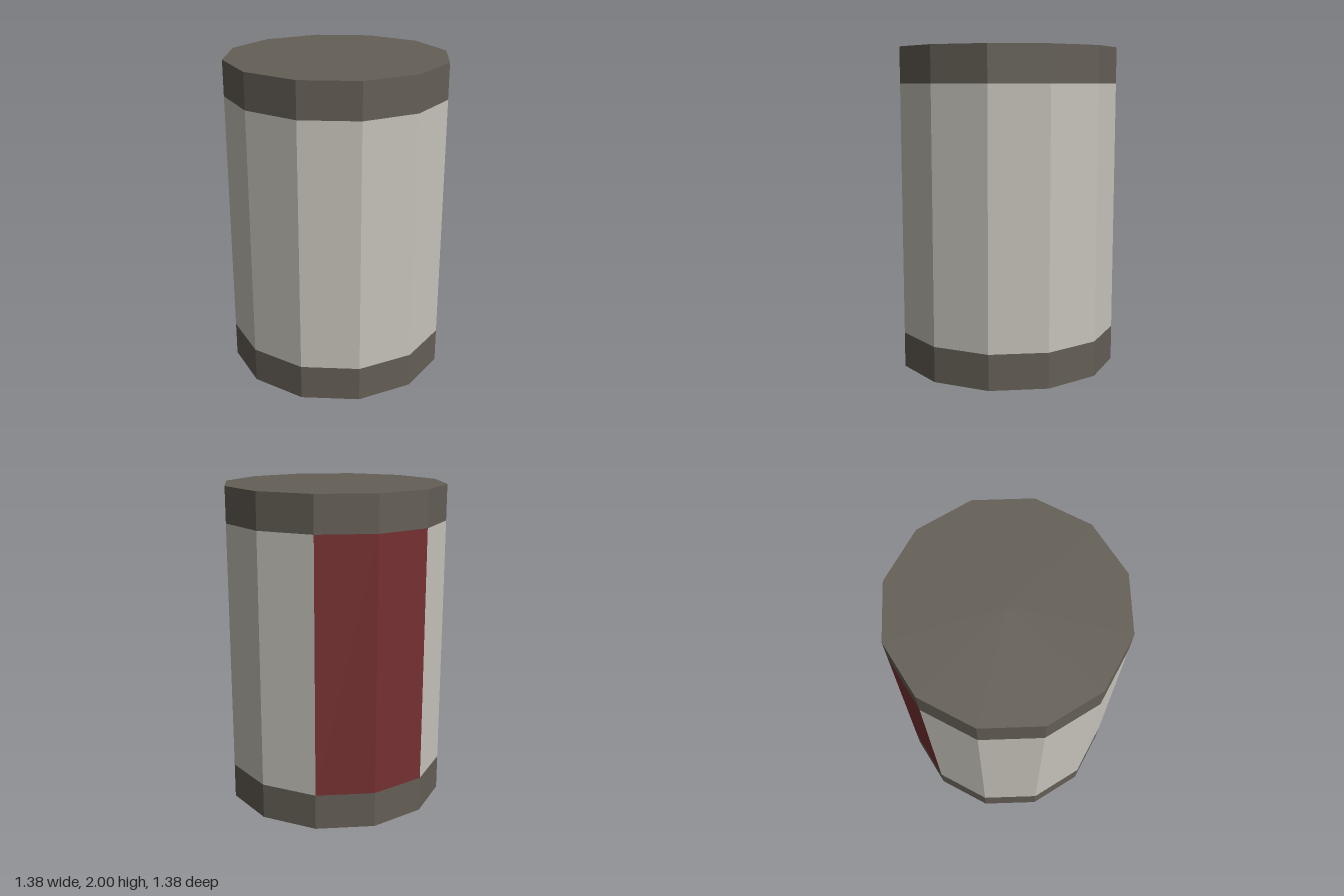
import * as THREE from 'three';

const RADIUS = 0.69, SIDES = 12, HEIGHT = 2, BAND = 0.22;
const STEP = (Math.PI * 2) / SIDES;

function material(name, color) {
  const m = new THREE.MeshStandardMaterial({ color, flatShading: true });
  m.name = name;
  return m;
}

export function createModel() {
  const group = new THREE.Group();
  group.name = 'drum';
  const darkMetal = material('dark metal', 0x645f56);
  const paleGrey = material('pale grey', 0xc6c3ba);
  const darkRed = material('dark red', 0x762f31);

  const add = (name, geometry, mat, y) => {
    const mesh = new THREE.Mesh(geometry, mat);
    mesh.name = name;
    mesh.position.y = y;
    group.add(mesh);
  };

  // Solid end caps
  const cap = new THREE.CylinderGeometry(RADIUS, RADIUS, BAND, SIDES);
  add('bottomCap', cap, darkMetal, BAND / 2);
  add('topCap', cap, darkMetal, HEIGHT - BAND / 2);

  // Wall between the caps, as a run of flat sides
  const wall = (first, count) => new THREE.CylinderGeometry(
    RADIUS, RADIUS, HEIGHT - 2 * BAND, count, 1, true, first * STEP, count * STEP);
  add('wall', wall(7, 10), paleGrey, HEIGHT / 2);

  // Two coloured sides at the back
  add('backPanel', wall(5, 2), darkRed, HEIGHT / 2);

  return group;
}
